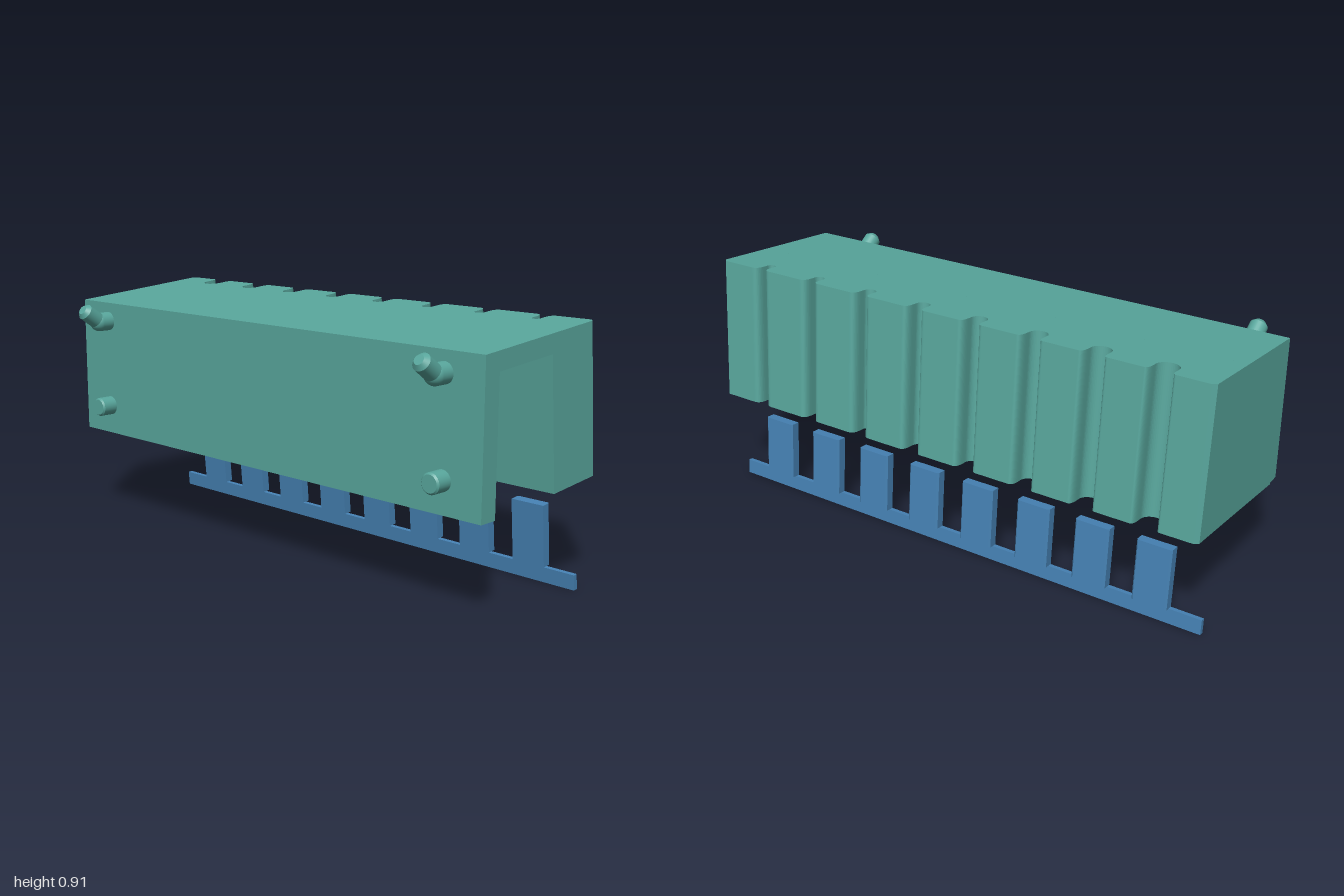
import * as THREE from 'three';

const TILT = THREE.MathUtils.degToRad(5);
const teal = new THREE.MeshStandardMaterial({ color: 0x58a69c });
const blue = new THREE.MeshStandardMaterial({ color: 0x4682b4 });
const COUNT = 8, PITCH = 0.2327;
const station = (i) => (i - (COUNT - 1) / 2) * PITCH;

function add(parent, name, geometry, material) {
  const mesh = new THREE.Mesh(geometry, material);
  mesh.name = name;
  parent.add(mesh);
  return mesh;
}

const polygon = (points) => new THREE.Shape(points.map(([a, b]) => new THREE.Vector2(a, b)));

// Side profile given as [z, y], swept along x from x0 to x1
function sweepX(points, x0, x1) {
  const g = new THREE.ExtrudeGeometry(polygon(points), { depth: x1 - x0, bevelEnabled: false });
  return g.rotateY(-Math.PI / 2).translate(x1, 0, 0);
}

// Plan outline given as (x, distance toward the back), raised from y0 to y1
function raiseY(shape, y0, y1) {
  const g = new THREE.ExtrudeGeometry(shape, { depth: y1 - y0, bevelEnabled: false, curveSegments: 10 });
  return g.rotateX(-Math.PI / 2).translate(0, y0, 0);
}

// Plan of the rear block: eight rounded grooves that narrow from -x to +x
function grooveOutline(depth) {
  const c = 0.013;
  const s = new THREE.Shape();
  s.moveTo(-1, 0);
  s.lineTo(1, 0);
  s.lineTo(1, depth - c);
  s.lineTo(1 - c, depth);
  for (let i = COUNT - 1; i >= 0; i--) {
    const x = station(i);
    const r = 0.04 - 0.0034 * i;
    const mouth = 0.035 + 0.45 * r;
    const floor = depth - (0.092 - 0.0024 * i);
    s.lineTo(x + mouth, depth);
    s.quadraticCurveTo(x + r, depth, x + r, depth - 0.035);
    s.lineTo(x + r, floor + r);
    s.absarc(x, floor + r, r, 0, -Math.PI, true);
    s.lineTo(x - r, depth - 0.035);
    s.quadraticCurveTo(x - r, depth, x - mouth, depth);
  }
  s.lineTo(-1 + c, depth);
  s.lineTo(-1, depth - c);
  s.closePath();
  return s;
}

// Round pin along +z, with a chamfered tip
function pin(length, radius, tipRadius, chamfer) {
  const profile = [[radius, 0], [radius, length - chamfer], [radius, length - chamfer], [tipRadius, length],
    [tipRadius, length], [0, length]].map(([r, y]) => new THREE.Vector2(r, y));
  return new THREE.LatheGeometry(profile, 28).rotateX(Math.PI / 2);
}

export function createModel() {
  const model = new THREE.Group();
  model.name = 'wallRack';

  // Front plate and sloping roof around the open channel
  const holder = new THREE.Group();
  holder.name = 'holder';
  model.add(holder);
  add(holder, 'frontPlateAndRoof', sweepX([[0.245, 0.34], [0.245, 0.862], [-0.094, 0.891],
    [-0.1, 0.825], [0.175, 0.803], [0.175, 0.34]], -1, 1), teal);

  // Wall closing the channel at one end
  add(holder, 'endWall', sweepX([[0.175, 0.34], [0.2, 0.34], [0.2, 0.333], [-0.14, 0.364],
    [-0.1, 0.825], [0.175, 0.803]], -1, -0.96), teal);

  // Tilted rear block: the lower part has slots for the tabs
  const block = new THREE.Group();
  block.name = 'rearBlock';
  block.position.set(0, 0.364, -0.14);
  block.rotation.x = TILT;
  holder.add(block);
  const slotted = grooveOutline(0.239);
  for (let i = 0; i < COUNT; i++) {
    const x = station(i), w = 0.069;
    slotted.holes.push(polygon([[x - w, 0.104], [x - w, 0.14], [x + w, 0.14], [x + w, 0.104]]));
  }
  add(block, 'slottedLowerBlock', raiseY(slotted, 0, 0.235), teal);
  add(block, 'upperBlock', raiseY(grooveOutline(0.239), 0.235, 0.529), teal);

  // Mounting hooks above, straight pegs below
  for (const x of [-0.845, 0.845]) {
    const hook = new THREE.Group();
    hook.name = 'mountingHook';
    hook.position.set(x, 0.79, 0.24);
    holder.add(hook);
    add(hook, 'hookShank', pin(0.05, 0.036, 0.036, 0.001), teal);
    add(hook, 'hookElbow', new THREE.SphereGeometry(0.036, 28, 18), teal).position.z = 0.05;
    const tip = add(hook, 'hookTip', pin(0.094, 0.032, 0.018, 0.015), teal);
    tip.position.z = 0.05;
    tip.rotation.x = -THREE.MathUtils.degToRad(35);

    add(holder, 'mountingPeg', pin(0.067, 0.036, 0.03, 0.006), teal).position.set(x, 0.452, 0.24);
  }

  // Separate comb: thin rail carrying eight tabs
  const comb = new THREE.Group();
  comb.name = 'tabComb';
  comb.position.set(0, 0, -0.283);
  comb.rotation.x = TILT;
  model.add(comb);
  add(comb, 'combRail', raiseY(polygon([[-1, 0], [1, 0], [1, 0.017], [-1, 0.017]]), 0, 0.055), blue);
  const tab = raiseY(polygon([[-0.065, 0], [0.065, 0], [0.065, 0.032], [0.059, 0.038],
    [-0.059, 0.038], [-0.065, 0.032]]), 0.055, 0.278);
  for (let i = 0; i < COUNT; i++) add(comb, 'tab', tab, blue).position.x = station(i);

  return model;
}
